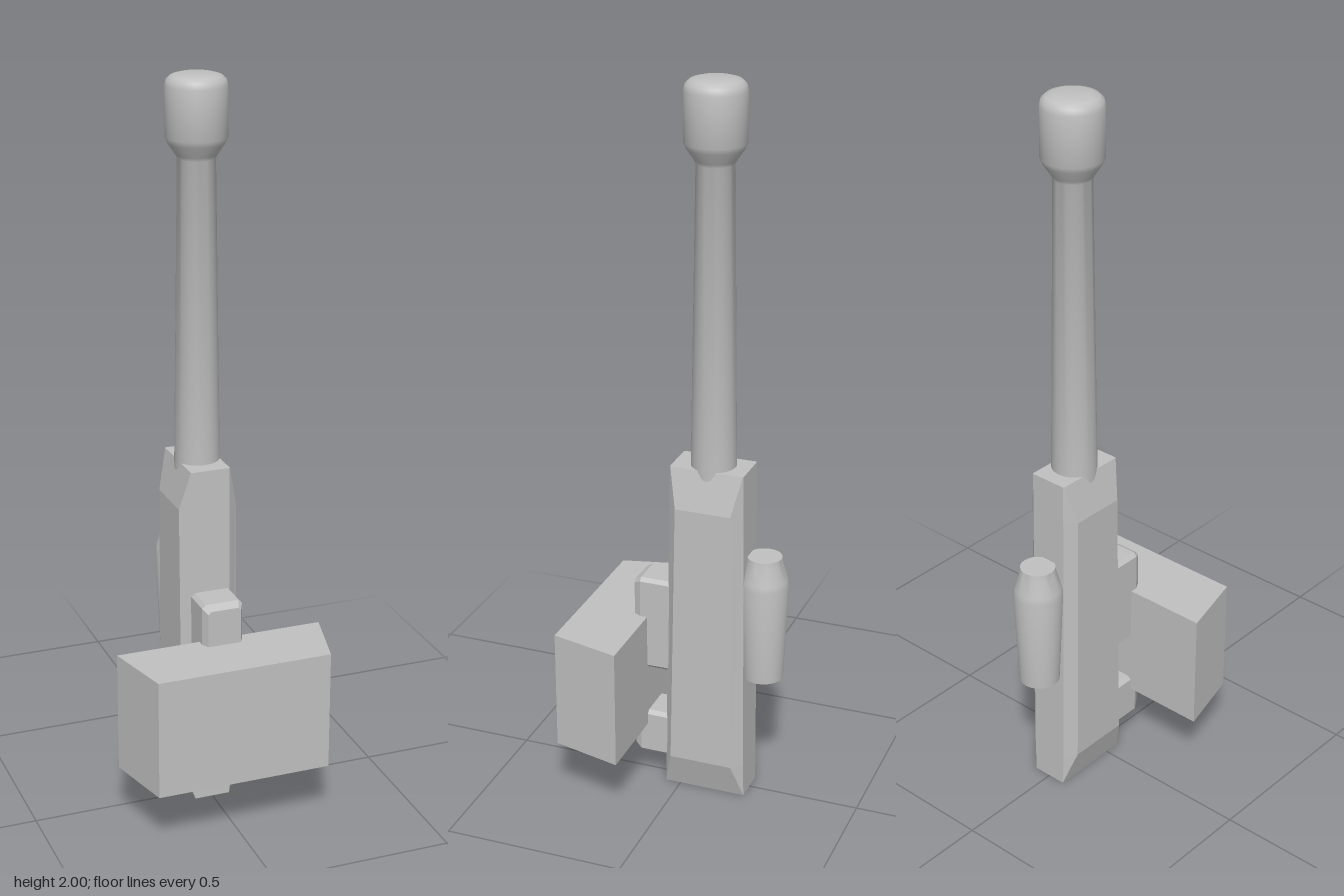
import * as THREE from 'three';
import { toCreasedNormals } from 'three/addons/utils/BufferGeometryUtils.js';

const metal = new THREE.MeshStandardMaterial({ color: 0xc0c0c0 });
metal.name = 'grey metal';

// Flat-faced solid through counter-clockwise rings [z, [[x, y], ...]] stacked along +z
function loft(rings) {
  const pos = [];
  const tri = (...points) => points.forEach(p => pos.push(...p));
  const pts = rings.map(([z, ring]) => ring.map(([x, y]) => [x, y, z]));
  const n = pts[0].length;
  for (let i = 0; i < pts.length - 1; i++) {
    for (let j = 0; j < n; j++) {
      const k = (j + 1) % n;
      const a = pts[i][j], b = pts[i][k], c = pts[i + 1][k], d = pts[i + 1][j];
      tri(a, b, c);
      tri(a, c, d);
    }
  }
  const first = pts[0], last = pts[pts.length - 1];
  for (let j = 1; j < n - 1; j++) {
    tri(first[0], first[j + 1], first[j]);
    tri(last[0], last[j], last[j + 1]);
  }
  const geo = new THREE.BufferGeometry();
  geo.setAttribute('position', new THREE.Float32BufferAttribute(pos, 3));
  geo.computeVertexNormals();
  return geo;
}

// Body outline: half widths of face and side, then front/back z of face and side
function bodyRing(face, side, front, back, sideFront, sideBack) {
  return [
    [side, -sideFront], [side, -sideBack], [face, -back], [-face, -back],
    [-side, -sideBack], [-side, -sideFront], [-face, -front], [face, -front],
  ];
}

// Rectangle with cut corners
function cutRect(w, y0, y1, c) {
  return [
    [w, y0 + c], [w, y1 - c], [w - c, y1], [c - w, y1],
    [-w, y1 - c], [-w, y0 + c], [c - w, y0], [w - c, y0],
  ];
}

function turned(profile) {
  const points = profile.map(([r, y]) => new THREE.Vector2(r, y));
  return toCreasedNormals(new THREE.LatheGeometry(points, 32), 0.75);
}

export function createModel() {
  const model = new THREE.Group();
  model.name = 'model';
  const add = (name, geo, z = 0) => {
    const mesh = new THREE.Mesh(geo, metal);
    mesh.name = name;
    mesh.position.z = z;
    model.add(mesh);
  };

  // Upright body whose bulging sides taper into its rectangular ends
  const body = loft([
    [0, bodyRing(0.05, 0.05, 0.043, -0.187, 0.043, -0.187)],
    [0.1, bodyRing(0.053, 0.081, 0.041, -0.186, 0.018, -0.158)],
    [0.86, bodyRing(0.053, 0.081, 0.03, -0.179, 0.004, -0.152)],
    [0.97, bodyRing(0.053, 0.055, 0.028, -0.178, 0.026, -0.176)],
  ]);
  body.rotateX(-Math.PI / 2);
  add('body', body);

  // Long tapered tube with a wider rounded head
  add('barrel', turned([
    [0, 0.9], [0.062, 0.9], [0.05, 1.785], [0.055, 1.795], [0.075, 1.825], [0.081, 1.84],
    [0.081, 1.97], [0.077, 1.985], [0.066, 1.995], [0.048, 2], [0, 2],
  ]), -0.076);

  // Small canister on the back
  add('canister', turned([
    [0, 0.365], [0.055, 0.365], [0.067, 0.645], [0.064, 0.66], [0.05, 0.705], [0.047, 0.725], [0, 0.725],
  ]), -0.222);

  // Two bevelled lugs on the front
  for (const [name, y0, y1] of [['lowerLug', 0.082, 0.215], ['upperLug', 0.352, 0.625]]) {
    add(name, loft([
      [-0.02, cutRect(0.057, y0, y1, 0.01)],
      [0.115, cutRect(0.057, y0, y1, 0.01)],
      [0.135, cutRect(0.046, y0 + 0.013, y1 - 0.013, 0.008)],
    ]));
  }

  // Wide block narrowing toward the front
  const rect = w => [[w, 0.175], [w, 0.51], [-w, 0.51], [-w, 0.175]];
  add('frontBlock', loft([[0.095, rect(0.29)], [0.288, rect(0.242)]]));

  return model;
}
